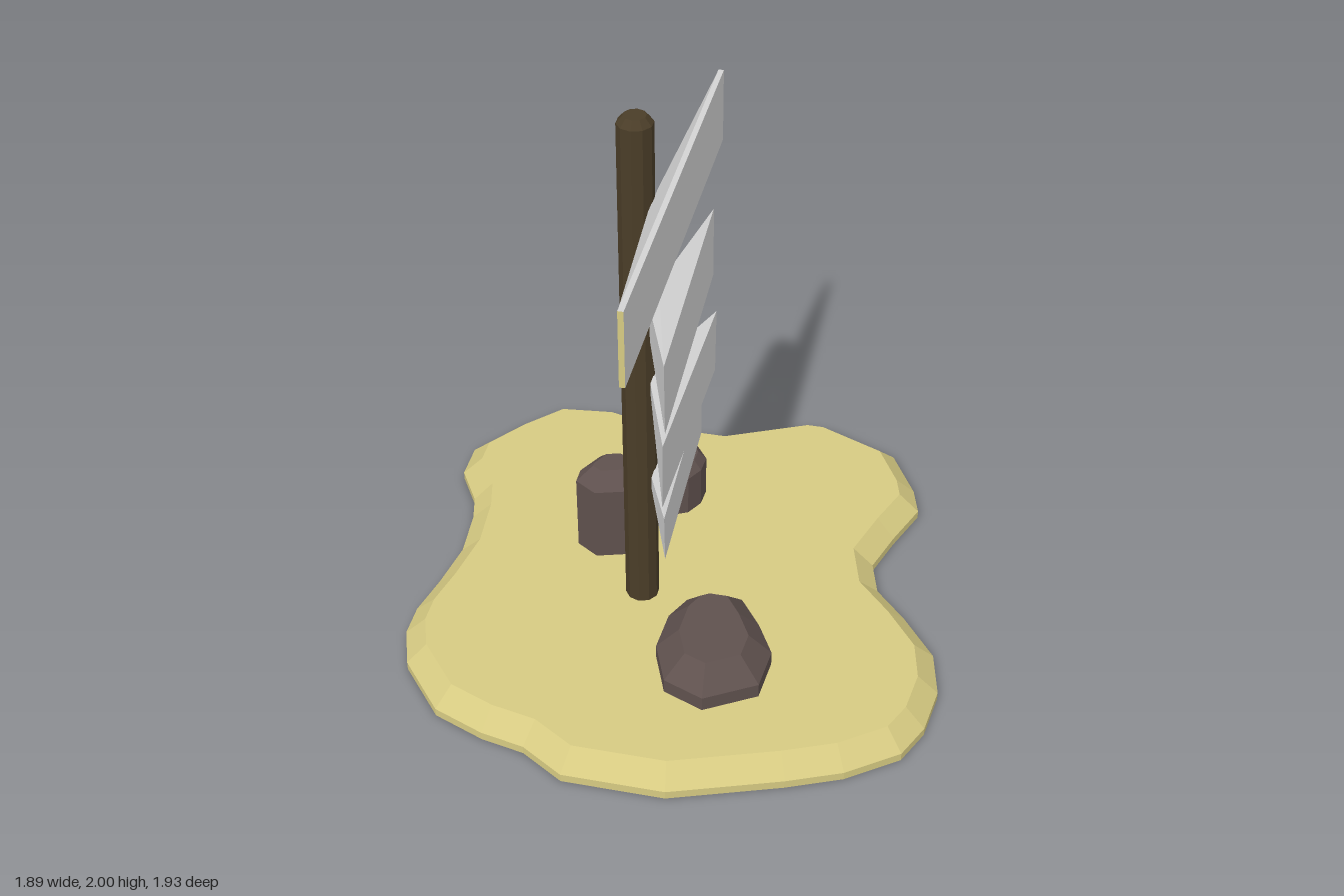
import * as THREE from 'three';

const paint = (name, color) => Object.assign(new THREE.MeshStandardMaterial({ color, flatShading: true }), { name });

function meshFrom(name, positions, material) {
  const geometry = new THREE.BufferGeometry();
  geometry.setAttribute('position', new THREE.Float32BufferAttribute(positions, 3));
  geometry.computeVertexNormals();
  const mesh = new THREE.Mesh(geometry, material);
  mesh.name = name;
  return mesh;
}

// Moves every edge of an outline inwards by the same distance
function insetOutline(points, d) {
  const n = points.length;
  const inward = (a, b) => new THREE.Vector2(a.y - b.y, b.x - a.x).normalize();
  return points.map((p, i) => {
    const n1 = inward(points[(i + n - 1) % n], p);
    const n2 = inward(p, points[(i + 1) % n]);
    const k = d / (1 + n1.dot(n2));
    return p.clone().add(n1.add(n2).multiplyScalar(k));
  });
}

// Upright block from an x,z outline, with a sloping rim below its flat top
function bevelledBlock(name, xz, base, shoulder, top, inset, material) {
  const outline = xz.map(([x, z]) => new THREE.Vector2(x, z));
  if (THREE.ShapeUtils.isClockWise(outline)) outline.reverse();
  const inner = insetOutline(outline, inset);
  const ring = (pts, y) => pts.map((p) => [p.x, y, p.y]);
  const rings = [ring(outline, base), ring(outline, shoulder), ring(inner, top)];
  const out = [];
  for (let r = 0; r < 2; r++) {
    const a = rings[r], b = rings[r + 1];
    a.forEach((p, i) => {
      const j = (i + 1) % a.length;
      out.push(...p, ...b[j], ...a[j], ...p, ...b[i], ...b[j]);
    });
  }
  for (const [a, b, c] of THREE.ShapeUtils.triangulateShape(inner, [])) {
    out.push(...rings[2][a], ...rings[2][c], ...rings[2][b]);
  }
  for (const [a, b, c] of THREE.ShapeUtils.triangulateShape(outline, [])) {
    out.push(...rings[0][a], ...rings[0][b], ...rings[0][c]);
  }
  return meshFrom(name, out, material);
}

// Board face tapering back to a small mount on the post; corners are [x, y, z]
function taperedBoard(name, f, yLow, yHigh, material) {
  const x = -0.068, z0 = 0.07, z1 = 0.2;
  const b = [[x, yHigh, z1], [x, yHigh, z0], [x, yLow, z0], [x, yLow, z1]];
  const out = [f[0], f[2], f[1], f[0], f[3], f[2], b[0], b[1], b[2], b[0], b[2], b[3]];
  for (let i = 0; i < 4; i++) {
    const j = (i + 1) % 4;
    out.push(f[i], f[j], b[j], f[i], b[j], b[i]);
  }
  return meshFrom(name, out.flat(), material);
}

export function createModel() {
  const model = new THREE.Group();
  model.name = 'signpost';
  const sand = paint('sand', 0xd6ca82);
  const wood = paint('dark wood', 0x4a3d28);
  const rock = paint('rock', 0x5f514e);
  const board = paint('grey board', 0xd2d2d2);

  // Sandy ground patch
  model.add(bevelledBlock('ground', [
    [-0.69, -0.865], [-0.46, -0.89], [-0.25, -0.835], [-0.02, -0.835], [0.28, -0.97], [0.37, -0.97],
    [0.64, -0.855], [0.74, -0.67], [0.77, -0.56], [0.7, -0.39], [0.645, -0.23], [0.68, -0.1],
    [0.79, 0.02], [0.91, 0.18], [0.945, 0.35], [0.92, 0.52], [0.86, 0.645], [0.69, 0.765],
    [0.51, 0.84], [0.145, 0.965], [-0.2, 0.965], [-0.35, 0.875], [-0.5, 0.845], [-0.68, 0.775],
    [-0.84, 0.59], [-0.89, 0.45], [-0.89, 0.33], [-0.855, 0.18], [-0.825, 0], [-0.84, -0.18],
    [-0.865, -0.28], [-0.95, -0.42], [-0.95, -0.56], [-0.83, -0.72],
  ], 0, 0.03, 0.097, 0.07, sand));

  // Rocks
  model.add(bevelledBlock('tallRock', [
    [-0.4, -0.11], [-0.35, -0.2], [-0.265, -0.225], [-0.155, -0.175],
    [-0.15, -0.065], [-0.22, -0.03], [-0.32, 0], [-0.4, -0.05],
  ], 0.09, 0.39, 0.445, 0.055, rock));
  model.add(bevelledBlock('backRock', [
    [-0.235, -0.4], [-0.215, -0.47], [-0.14, -0.51], [-0.075, -0.52], [-0.01, -0.43], [-0.015, -0.36],
    [-0.05, -0.3], [-0.09, -0.28], [-0.105, -0.225], [-0.14, -0.205], [-0.18, -0.225], [-0.225, -0.28],
  ], 0.09, 0.255, 0.29, 0.028, rock));
  model.add(bevelledBlock('flatRock', [
    [0.24, 0.17], [0.12, 0.17], [0.055, 0.21], [0.01, 0.3], [0, 0.45],
    [0.06, 0.6], [0.2, 0.655], [0.37, 0.555], [0.385, 0.4], [0.32, 0.28],
  ], 0.09, 0.15, 0.23, 0.075, rock));

  // Post with a chamfered top
  const profile = [[0, 0.09], [0.058, 0.09], [0.058, 1.975], [0.036, 2], [0, 2]];
  const post = new THREE.Mesh(
    new THREE.LatheGeometry(profile.map(([r, y]) => new THREE.Vector2(r, y)), 10), wood);
  post.name = 'post';
  post.position.set(-0.12, 0, 0.137);
  model.add(post);

  // Top board: flat plank with one pale end, on a tapering mount
  const plank = new THREE.Mesh(new THREE.BoxGeometry(0.018, 0.26, 1.39),
    [board, board, board, board, sand, board]);
  plank.name = 'topPlank';
  plank.position.set(0.008, 1.68, 0.165);
  model.add(plank);
  model.add(taperedBoard('topMount',
    [[0, 1.81, 0.86], [0, 1.81, -0.53], [0, 1.55, -0.53], [0, 1.55, 0.86]], 1.65, 1.71, board));

  // Lower boards, each tilted a little
  model.add(taperedBoard('upperBoard',
    [[0.06, 1.415, 0.565], [0.042, 1.45, -0.26], [0.042, 1.19, -0.265], [0.06, 1.155, 0.555]], 1.23, 1.36, board));
  model.add(taperedBoard('middleBoard',
    [[0.05, 1.095, 0.545], [0.055, 1.045, -0.26], [0.055, 0.81, -0.245], [0.05, 0.86, 0.555]], 1.02, 1.06, board));
  model.add(taperedBoard('lowerBoard',
    [[0.03, 0.715, 0.445], [0.022, 0.76, -0.17], [0.022, 0.58, -0.185], [0.03, 0.535, 0.435]], 0.62, 0.67, board));

  return model;
}
